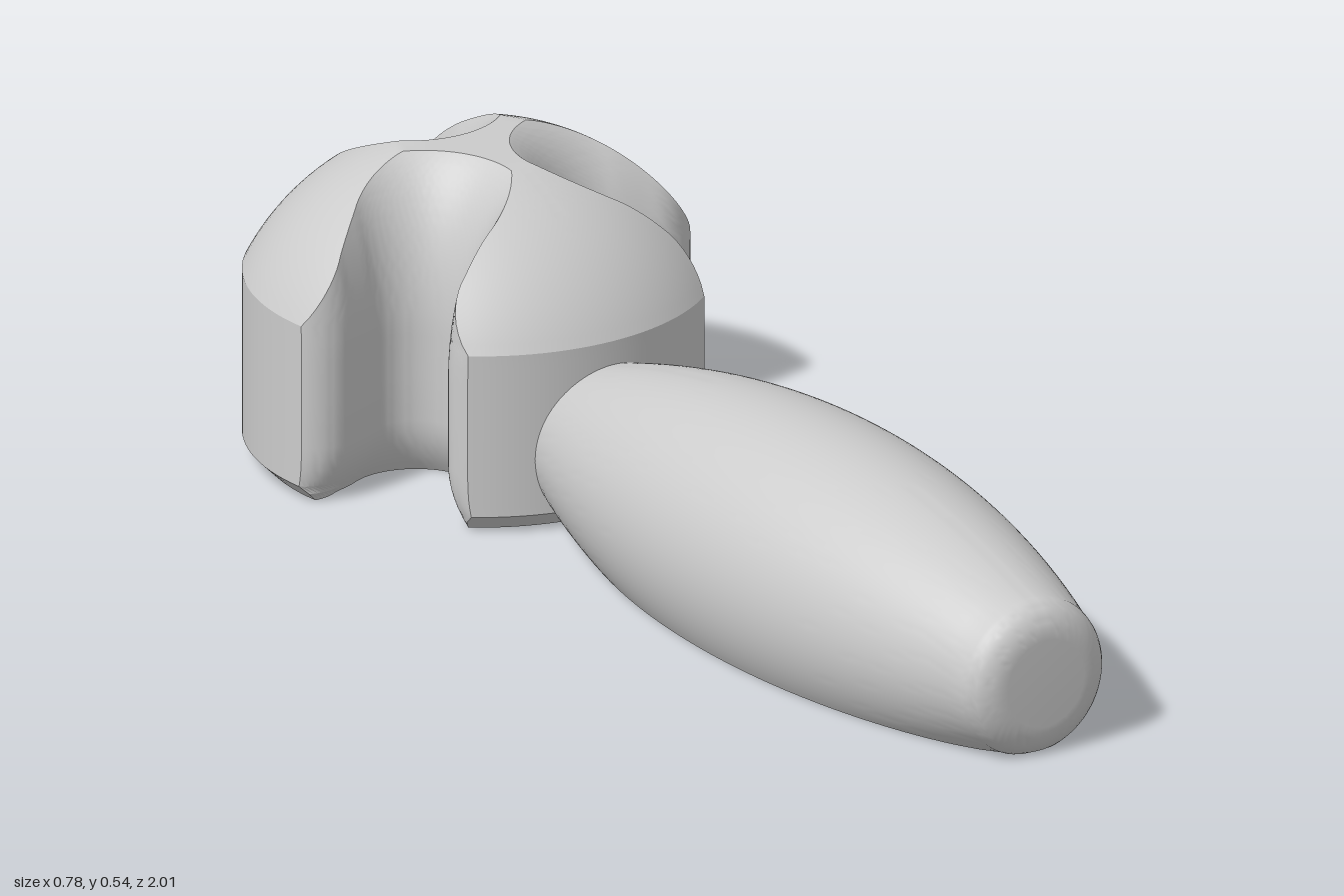
import * as THREE from 'three';
import { toCreasedNormals } from 'three/addons/utils/BufferGeometryUtils.js';

const material = new THREE.MeshStandardMaterial({ color: 0xcccccc });

// Skin closed rings of equal length and cap both ends; flat(p) gives a counterclockwise 2D view of a ring.
function loft(name, rings, flat) {
  const n = rings[0].length;
  const index = [];
  for (let i = 0; i < rings.length - 1; i++) {
    for (let j = 0; j < n; j++) {
      const a = i * n + j, b = i * n + (j + 1) % n;
      index.push(a, b, a + n, b, b + n, a + n);
    }
  }
  const last = (rings.length - 1) * n;
  for (const [a, b, c] of THREE.ShapeUtils.triangulateShape(rings[0].map(flat), [])) index.push(a, c, b);
  for (const [a, b, c] of THREE.ShapeUtils.triangulateShape(rings.at(-1).map(flat), [])) index.push(last + a, last + b, last + c);
  const geometry = new THREE.BufferGeometry().setFromPoints(rings.flat());
  geometry.setIndex(index);
  const mesh = new THREE.Mesh(toCreasedNormals(geometry, 0.36), material);
  mesh.name = name;
  return mesh;
}

// Barrel-shaped grip along z, sliced flat where it rests on the ground
function makeHandle() {
  const axisY = 0.127, segments = 96;
  const radius = z => 0.24 - 0.1 * ((z - 0.33) / 0.61) ** 2;
  const profile = [];
  for (let i = 0; i <= 40; i++) {
    const z = -0.36 + 1.31 * i / 40;
    profile.push([z, radius(z)]);
  }
  for (let i = 1; i <= 10; i++) {
    const a = i / 10 * Math.PI / 2;
    profile.push([0.95 + 0.05 * Math.sin(a), radius(0.95) - 0.06 * (1 - Math.cos(a))]);
  }
  const rings = profile.map(([z, r]) => {
    const cut = r > axisY ? Math.acos(axisY / r) : 0;
    return Array.from({ length: segments + 1 }, (_, j) => {
      const a = -Math.PI / 2 + cut + (2 * Math.PI - 2 * cut) * j / segments;
      return new THREE.Vector3(r * Math.cos(a), axisY + r * Math.sin(a), z);
    });
  });
  return loft('handle', rings, p => new THREE.Vector2(p.x, p.y));
}

const HEAD_Z = -0.65, TOP = 0.535, RADIUS = 0.39, SPHERE_Y = 0.118, SPHERE_R = 0.437;

// Half outline of a notch at height y, from its floor to where it leaves the circle of radius R
function notchHalf(y, R) {
  const t = Math.max(0, (y - 0.25) / (TOP - 0.25));
  const flare = (1 - Math.sqrt(1 - (0.92 * t) ** 2)) / 0.608;
  const foot = 0.035 * Math.max(0, 1 - y / 0.1) ** 2;
  const a = 0.08 + 0.08 * flare + foot;
  const c = 0.24 - 0.03 * flare;
  const points = [];
  for (let i = 0; i <= 24; i++) {
    const w = i / 24 * Math.PI / 2;
    points.push(new THREE.Vector2(c - a * Math.cos(w), a * Math.sin(w)));
  }
  for (let i = 0; i <= 16; i++) {
    const w = i / 16 * Math.PI / 2;
    points.push(new THREE.Vector2(0.29 + 0.07 * Math.sin(w), a + 0.01 + 0.07 * (1 - Math.cos(w))));
  }
  points.push(new THREE.Vector2(0.36, 0.5));
  const k = points.findIndex(p => p.length() > R);
  // Bisect for the exact crossing
  let lo = 0, hi = 1;
  for (let i = 0; i < 30; i++) {
    const mid = (lo + hi) / 2;
    if (points[k - 1].clone().lerp(points[k], mid).length() > R) hi = mid; else lo = mid;
  }
  const inside = points.slice(0, k);
  inside.push(points[k - 1].clone().lerp(points[k], hi));
  return new THREE.Path().setFromPoints(inside).getSpacedPoints(36);
}

// One horizontal section: a circle with three notches
function headRing(y, R) {
  const half = notchHalf(y, R);
  const end = half.at(-1);
  const lip = Math.atan2(end.y, end.x);
  const notch = [
    ...half.slice(1).reverse().map(p => new THREE.Vector2(p.x, -p.y)),
    ...half,
  ];
  const ring = [];
  for (let n = 0; n < 3; n++) {
    const axis = Math.PI / 2 + n * 2 * Math.PI / 3;
    const add = p => {
      const q = p.rotateAround(new THREE.Vector2(), axis);
      ring.push(new THREE.Vector3(q.x, y, HEAD_Z - q.y));
    };
    notch.forEach(p => add(p.clone()));
    for (let i = 1; i < 24; i++) {
      const a = lip + (2 * Math.PI / 3 - 2 * lip) * i / 24;
      add(new THREE.Vector2(R * Math.cos(a), R * Math.sin(a)));
    }
  }
  return ring;
}

// Three-lobed domed head with a chamfered foot
function makeHead() {
  const levels = [[0, 0.36], [0.015, 0.375], [0.03, RADIUS]];
  for (const y of [0.045, 0.06, 0.08, 0.1, 0.18, 0.25, 0.27, 0.29]) levels.push([y, RADIUS]);
  for (let i = 0; i <= 30; i++) {
    const r = RADIUS + (0.13 - RADIUS) * i / 30;
    levels.push([Math.min(TOP, SPHERE_Y + Math.sqrt(SPHERE_R ** 2 - r * r)), r]);
  }
  return loft('head', levels.map(([y, r]) => headRing(y, r)), p => new THREE.Vector2(p.x, -p.z));
}

export function createModel() {
  const group = new THREE.Group();
  group.name = 'knob with handle';
  group.add(makeHandle(), makeHead());
  return group;
}
